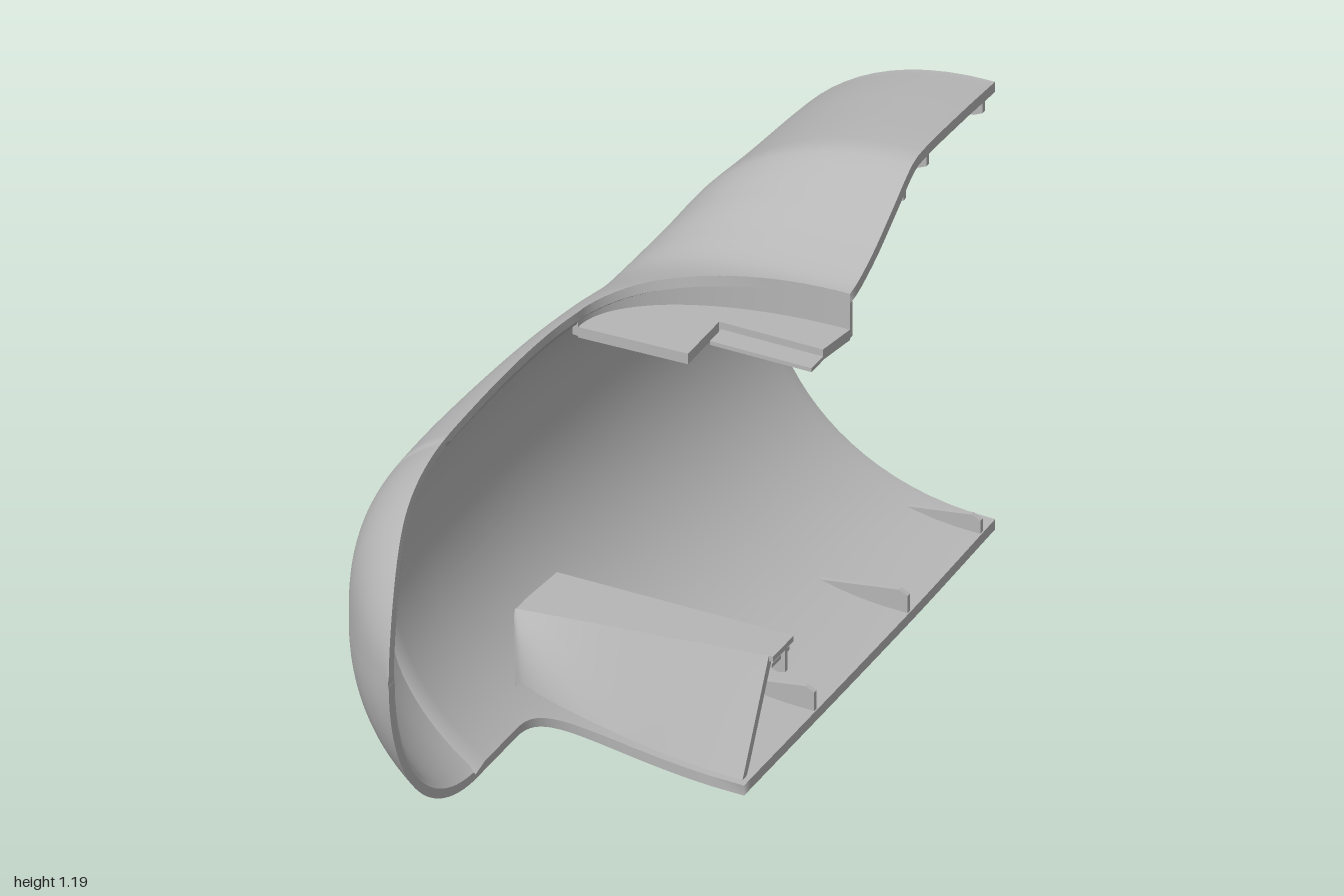
import * as THREE from 'three';

const grey = new THREE.MeshStandardMaterial({ color: 0xb6b6b6, side: THREE.DoubleSide });
grey.name = 'plain grey';
const V = (x, y, z) => new THREE.Vector3(x, y, z);
const CX = 0.365, YM = 0.59;

// Smooth interpolation through [z, value] keys
function curve(keys) {
  const slope = (i) => {
    const a = keys[Math.max(i - 1, 0)], b = keys[Math.min(i + 1, keys.length - 1)];
    return (b[1] - a[1]) / (b[0] - a[0]);
  };
  return (z) => {
    let i = 0;
    while (i < keys.length - 2 && z > keys[i + 1][0]) i++;
    const [z0, v0] = keys[i], [z1, v1] = keys[i + 1], d = z1 - z0;
    const t = THREE.MathUtils.clamp((z - z0) / d, 0, 1), t2 = t * t, t3 = t2 * t;
    return v0 * (2 * t3 - 3 * t2 + 1) + slope(i) * d * (t3 - 2 * t2 + t)
      + v1 * (3 * t2 - 2 * t3) + slope(i + 1) * d * (t3 - t2);
  };
}

// Widest x of the side, heights above and below the middle, roundness of the top
const sideX = curve([[-1, -0.23], [-0.6, -0.275], [-0.2, -0.32], [0.1, -0.35], [0.35, -0.364], [0.5, -0.365],
  [0.6, -0.36], [0.7, -0.343], [0.8, -0.305], [0.9, -0.235], [0.96, -0.172], [1, -0.107]]);
const upHeight = curve([[-1, 0.58], [-0.85, 0.59], [-0.66, 0.596], [-0.6, 0.586], [-0.5, 0.52], [-0.4, 0.457],
  [-0.3, 0.42], [-0.15, 0.435], [0, 0.447], [0.57, 0.446]]);
const downHeight = curve([[-1, 0.572], [-0.6, 0.585], [0.2, 0.59], [0.57, 0.59]]);
const roundness = curve([[-1, 2.2], [-0.6, 2.2], [-0.3, 2.9], [0, 3], [1, 3]]);
const openingX = curve([[-0.04, -0.17], [0.05, -0.188], [0.2, -0.197], [0.4, -0.195], [0.6, -0.187], [0.8, -0.165], [1, -0.105]]);

// Where the shell is cut away above and below
function topCut(z) {
  if (z <= -0.3) return CX;
  if (z < -0.04) return CX - 0.535 * Math.sqrt(Math.max(0, 1 - ((z + 0.04) / 0.26) ** 2));
  return openingX(z);
}
function bottomCut(z) {
  if (z <= 0.21) return CX;
  if (z < 0.4) return CX - 0.47 * Math.cbrt(Math.max(0, 1 - ((0.4 - z) / 0.19) ** 3));
  return -0.105;
}

// Rounded half section at z: width a, height b, exponent n, angle at the cut
function halfSection(z, up) {
  const n = up ? roundness(z) : 2.2, a = CX - sideX(z), cut = up ? topCut(z) : bottomCut(z);
  const end = Math.acos(Math.pow(Math.min((CX - cut) / a, 0.9999), n / 2));
  const s = Math.sqrt(1 - ((z - 0.57) / 0.43) ** 2);
  const b = z > 0.57 ? (up ? 0.367 : 0.475) * s / Math.pow(Math.sin(end), 2 / n) : (up ? upHeight : downHeight)(z);
  return { n, a, b, end };
}
const STEPS = 26;
function arc(z, up) {
  const { n, a, b, end } = halfSection(z, up);
  return Array.from({ length: STEPS + 1 }, (_, i) => {
    const th = end * Math.pow(i / STEPS, 1.4);
    return V(CX - a * Math.pow(Math.max(Math.cos(th), 0), 2 / n), YM + (up ? 1 : -1) * b * Math.pow(Math.sin(th), 2 / n), z);
  });
}
const section = (z) => [...arc(z, true).reverse(), ...arc(z, false).slice(1)];

// Outward direction of the shell at a point, from the section rule
function shellNormal(p) {
  const up = p.y > YM, dx = Math.max(CX - p.x, 0), dy = Math.abs(p.y - YM), e = 0.0004;
  const value = (z) => {
    const { n, a, b } = halfSection(z, up);
    return Math.pow(dx / a, n) + Math.pow(dy / b, n);
  };
  const { n, a, b } = halfSection(p.z, up);
  const gx = -n / a * Math.pow(dx / a, n - 1), gy = n / b * Math.pow(dy / b, n - 1) * (up ? 1 : -1);
  return V(gx, gy, (value(p.z) - value(p.z - e)) / e).normalize();
}

function gridGeometry(rows) {
  const m = rows[0].length, index = [];
  for (let i = 0; i < rows.length - 1; i++) for (let j = 0; j < m - 1; j++) {
    const a = i * m + j, b = a + m;
    index.push(a, a + 1, b, b, a + 1, b + 1);
  }
  const g = new THREE.BufferGeometry().setFromPoints(rows.flat());
  g.setIndex(index);
  g.computeVertexNormals();
  return g;
}

// Sheet with thickness: outer face, inner face and a rim all round
function thickSheet(name, rows, thickness, limit, normalAt) {
  const group = new THREE.Group(), outer = gridGeometry(rows), m = rows[0].length;
  group.name = name;
  const N = outer.attributes.normal;
  if (normalAt) rows.flat().forEach((p, k) => N.setXYZ(k, ...normalAt(p).toArray()));
  const inner = rows.map((row, i) => row.map((p, j) =>
    limit(p.clone().addScaledVector(V().fromBufferAttribute(N, i * m + j), -thickness), row, j)));
  const insideFace = gridGeometry(inner.map((r) => [...r].reverse()));
  if (normalAt) {
    rows.map((r) => [...r].reverse()).flat().forEach((p, k) =>
      insideFace.attributes.normal.setXYZ(k, ...normalAt(p).negate().toArray()));
  }
  const add = (part, g) => {
    const mesh = new THREE.Mesh(g, grey);
    mesh.name = name + part;
    group.add(mesh);
  };
  add('Outside', outer);
  add('Inside', insideFace);
  const last = rows.length - 1;
  add('RimStart', gridGeometry([inner[0], rows[0]]));
  add('RimEnd', gridGeometry([rows[last], inner[last]]));
  add('RimTop', gridGeometry([rows.map((r) => r[0]), inner.map((r) => r[0])]));
  add('RimBottom', gridGeometry([inner.map((r) => r[m - 1]), rows.map((r) => r[m - 1])]));
  return group;
}

export function createModel() {
  const model = new THREE.Group();
  model.name = 'halfShell';
  const mesh = (name, g) => {
    const o = new THREE.Mesh(g, grey);
    o.name = name;
    model.add(o);
    return o;
  };
  const box = (name, x0, x1, y0, y1, z0, z1) => mesh(name, new THREE.BoxGeometry(x1 - x0, y1 - y0, z1 - z0))
    .position.set((x0 + x1) / 2, (y0 + y1) / 2, (z0 + z1) / 2);
  // Flat plate from [x, z] corners
  const plate = (name, corners, y, height) => {
    const shape = new THREE.Shape(corners.map(([x, z]) => new THREE.Vector2(x, -z)));
    const o = mesh(name, new THREE.ExtrudeGeometry(shape, { depth: height, bevelEnabled: false }));
    o.rotation.x = -Math.PI / 2;
    o.position.y = y;
  };
  const ramp = (n, f) => Array.from({ length: n + 1 }, (_, i) => f(i / n));

  // Stations along z, closer together at the cuts and the nose
  const H = Math.PI / 2;
  const stations = [
    ...ramp(28, (t) => -1 + 0.7 * t),
    ...ramp(20, (t) => -0.04 - 0.26 * Math.cos(H * t)).slice(1),
    ...ramp(8, (t) => -0.04 + 0.25 * t).slice(1),
    ...ramp(22, (t) => 0.4 - 0.19 * Math.pow(Math.max(Math.cos(H * t), 0), 2 / 3)).slice(1),
    ...ramp(5, (t) => 0.4 + 0.17 * t).slice(1),
    ...ramp(30, (t) => 0.57 + 0.43 * Math.sin(H * t * 0.985)).slice(1),
  ];
  model.add(thickSheet('shell', stations.map(section), 0.026, (p, row, j) => {
    p.x = Math.min(p.x, j <= STEPS ? row[0].x : row[row.length - 1].x);
    p.z = Math.max(p.z, -1);
    return p;
  }, shellNormal));

  // Curved upright wall of the top recess
  const cutZ = ramp(24, (t) => -0.04 - 0.26 * Math.sin(H * t));
  model.add(thickSheet('recessWall', cutZ.map((z) => {
    const top = arc(z, true)[STEPS];
    return [top, V(top.x, 0.895, z)];
  }), 0.014, (p, row, j) => (j === 0 ? p.setY(Math.max(p.y - 0.02, 0.9)) : p)));

  // Stepped recess floor
  plate('recessFloor', [...cutZ.map((z) => [topCut(z), z]), [0.35, -0.2], [0.095, -0.2], [0.095, -0.05]], 0.891, 0.027);
  box('recessLip', 0.1, 0.35, 0.89, 0.9, -0.21, -0.145);
  box('recessBackLip', 0.1, 0.35, 0.895, 0.915, -0.335, -0.29);

  // Sloping front wall rising from the lower cut, with its top ledges
  const wallTopZ = (x) => 0.065 + 0.13 * (0.352 - x);
  model.add(thickSheet('slopingWall', ramp(28, (t) => {
    const z = 0.4 - 0.19 * Math.pow(Math.sin(H * t), 2 / 3);
    const low = arc(z, false)[STEPS];
    low.set(Math.min(low.x, 0.352), low.y + 0.014, z - 0.012);
    const x = THREE.MathUtils.mapLinear(low.x, -0.105, 0.352, -0.235, 0.352);
    return ramp(6, (k) => V(x, 0.276, wallTopZ(x)).lerp(low, k));
  }), 0.02, (p, row, j) => V(Math.max(p.x, row[j].x), Math.max(p.y, row[6].y), p.z)));
  const ledge = (name, x0, x1, y, height, inset) => plate(name,
    [[x0, -0.035], [x1, -0.035], [x1, wallTopZ(x1) - inset], [x0, wallTopZ(x0) - inset]], y, height);
  ledge('wallTopLedge', -0.23, 0.362, 0.262, 0.014, 0);
  ledge('wallInnerLedge', -0.2, 0.352, 0.237, 0.01, 0.015);

  // Thin tapering ribs along the open edge
  const rib = (name, z, pts) => {
    const shape = new THREE.Shape(pts.map(([x, y]) => new THREE.Vector2(x, y)));
    mesh(name, new THREE.ExtrudeGeometry(shape, { depth: 0.012, bevelEnabled: false })).position.z = z - 0.006;
  };
  for (const z of [-0.14, -0.59, -0.94]) {
    rib('lowerRib', z, [[0.362, 0.02], [0.362, 0.075], [0.34, 0.085], [0.1, 0.05], [0.14, 0.04]]);
  }
  for (const z of [-0.57, -0.68, -0.95]) {
    const y = YM + upHeight(z) - 0.02;
    rib('upperRib', z, [[0.362, y], [0.362, y - 0.035], [0.34, y - 0.045], [0.1, y - 0.05], [0.14, y - 0.02]]);
  }
  rib('ledgeRib', 0, [[0.362, 0.265], [0.362, 0.205], [0.345, 0.2], [0.2, 0.245], [0.2, 0.265]]);
  return model;
}
